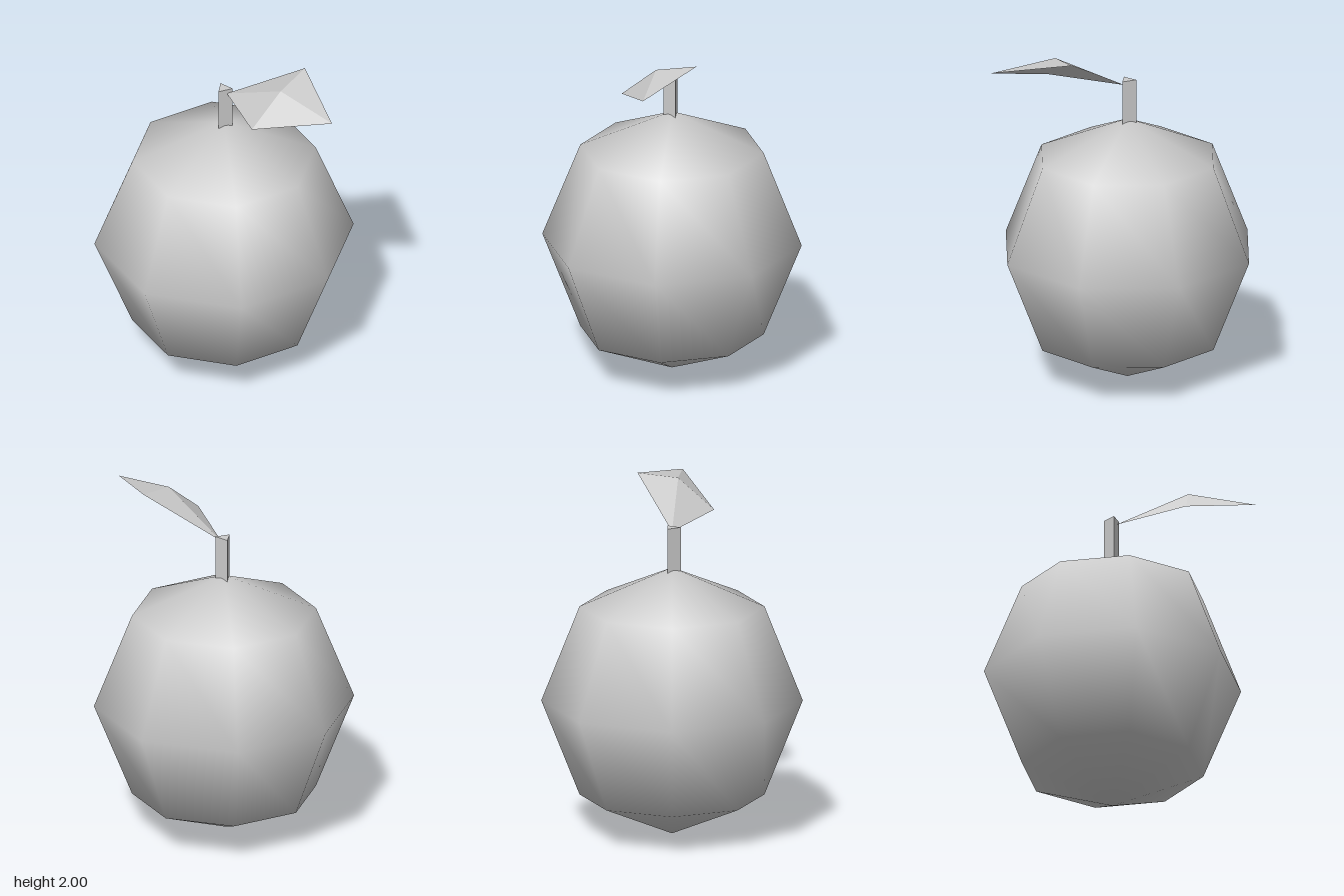
import * as THREE from 'three';

export function createModel() {
  const group = new THREE.Group();
  const grey = new THREE.MeshStandardMaterial({ color: 0xcccccc });
  grey.name = 'pale grey';
  const greySheet = grey.clone(); // same colour for the open leaf sheet
  greySheet.name = 'pale grey leaf';
  greySheet.side = THREE.DoubleSide;

  const add = (name, geometry, material, x = 0, y = 0, z = 0) => {
    const mesh = new THREE.Mesh(geometry, material);
    mesh.name = name;
    mesh.position.set(x, y, z);
    group.add(mesh);
  };

  // Fruit: smooth-shaded low-poly sphere, slightly taller than wide
  const fruit = new THREE.SphereGeometry(1, 8, 4).scale(0.74, 0.776, 0.74);
  add('fruit', fruit, grey, -0.04, 0.78, 0);

  // Stem: three-sided prism sunk into the top of the fruit
  const stem = new THREE.CylinderGeometry(0.05, 0.05, 0.3, 3).toNonIndexed();
  stem.computeVertexNormals();
  add('stem', stem, grey, -0.041, 1.64, 0);

  // Leaf: four flat facets around a raised middle point
  const middle = [0.39, 1.97, 0.035];
  const rim = [
    [-0.02, 1.76, 0],      // base
    [0.34, 1.797, 0.238],  // front corner
    [0.775, 1.925, 0.06],  // tip
    [0.387, 2.0, -0.195],  // back corner
  ];
  const points = [];
  rim.forEach((p, i) => points.push(...middle, ...p, ...rim[(i + 1) % rim.length]));
  const leaf = new THREE.BufferGeometry();
  leaf.setAttribute('position', new THREE.Float32BufferAttribute(points, 3));
  leaf.computeVertexNormals();
  add('leaf', leaf, greySheet);

  return group;
}
